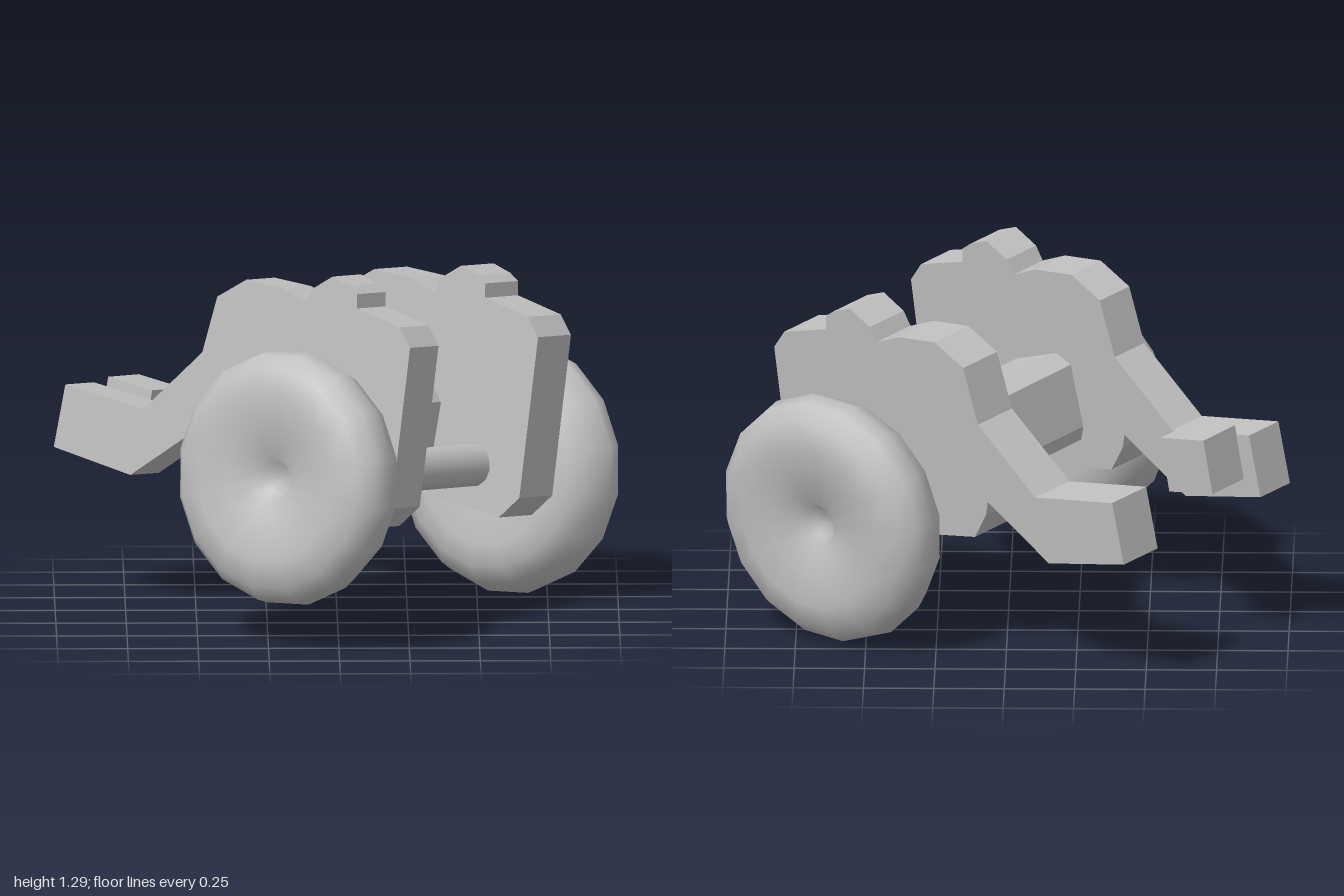
import * as THREE from 'three';

export function createModel() {
  const grey = new THREE.MeshStandardMaterial({ color: 0xc0c0c0 });
  grey.name = 'plain grey';
  const model = new THREE.Group();
  model.name = 'wheeledCarriage';

  const add = (name, geometry, x = 0, y = 0, z = 0) => {
    const mesh = new THREE.Mesh(geometry, grey);
    mesh.name = name;
    mesh.position.set(x, y, z);
    model.add(mesh);
    return mesh;
  };
  const extrude = (points, depth) => new THREE.ExtrudeGeometry(
    new THREE.Shape(points.map(([x, y]) => new THREE.Vector2(x, y))),
    { depth, bevelEnabled: false });

  // Side plates: humped body, knuckle on top and a cranked arm to the rear
  const plate = [
    [-0.5, -0.115], [0.26, -0.12], [0.335, -0.03], [0.3, 0.55], [0.24, 0.61],
    [0.04, 0.63], [0.03, 0.68], [-0.01, 0.7], [-0.09, 0.715], [-0.17, 0.65], [-0.19, 0.595],
    [-0.3, 0.62], [-0.466, 0.61], [-0.58, 0.52], [-0.605, 0.31],
    [-0.82, 0.05], [-1.18, 0.05], [-1.185, -0.18], [-0.83, -0.195],
    [-0.59, 0.02], [-0.57, -0.03],
  ];
  add('rightSidePlate', extrude(plate, 0.165), 0, 0, 0.3).rotation.y = -0.015;
  add('leftSidePlate', extrude(plate, 0.19), 0, 0, -0.48).rotation.y = -0.015;

  // Peg on the inner side of one arm
  add('armPeg', new THREE.BoxGeometry(0.2, 0.2, 0.18), -1.02, -0.015, 0.195);

  // Chamfered cross beam and round cross rod
  const beam = [
    [-0.38, -0.01], [-0.13, 0], [-0.08, 0.05], [-0.08, 0.22],
    [-0.14, 0.28], [-0.33, 0.31], [-0.39, 0.27], [-0.4, 0.04],
  ];
  add('crossBeam', extrude(beam, 0.64), 0, 0, -0.32);
  add('crossRod', new THREE.CylinderGeometry(0.077, 0.077, 0.64, 12), 0.105, 0.035, 0)
    .rotation.x = Math.PI / 2;

  // Rounded wheels with shallow dished faces, and short axle stubs
  const tyre = [
    [0, -0.12], [0.15, -0.14], [0.28, -0.155], [0.36, -0.14], [0.42, -0.095],
    [0.458, -0.01], [0.445, 0.055], [0.395, 0.11], [0.3, 0.135], [0.2, 0.11],
    [0.08, 0.09], [0.055, 0.05], [0, 0.045],
  ].map(([r, h]) => new THREE.Vector2(r, h));
  for (const side of [1, -1]) {
    const label = side > 0 ? 'right' : 'left';
    add(label + 'Wheel', new THREE.LatheGeometry(tyre, 16), 0, side * 0.012, side * 0.66)
      .rotation.x = side * Math.PI / 2;
    add(label + 'AxleStub', new THREE.CylinderGeometry(0.1, 0.1, 0.18, 10), 0, 0, side * 0.48)
      .rotation.x = Math.PI / 2;
  }

  // Turn and tilt the whole carriage into its pose
  const across = new THREE.Vector3(-0.61, 0.095, 0.786).normalize();
  const up = new THREE.Vector3().crossVectors(across, new THREE.Vector3(0.77, -0.13, 0.62)).normalize();
  const forward = new THREE.Vector3().crossVectors(up, across);
  model.quaternion.setFromRotationMatrix(new THREE.Matrix4().makeBasis(forward, up, across));
  model.position.set(0.22, 0.53, 0.14);

  const root = new THREE.Group();
  root.name = 'carriage';
  root.add(model);
  return root;
}
